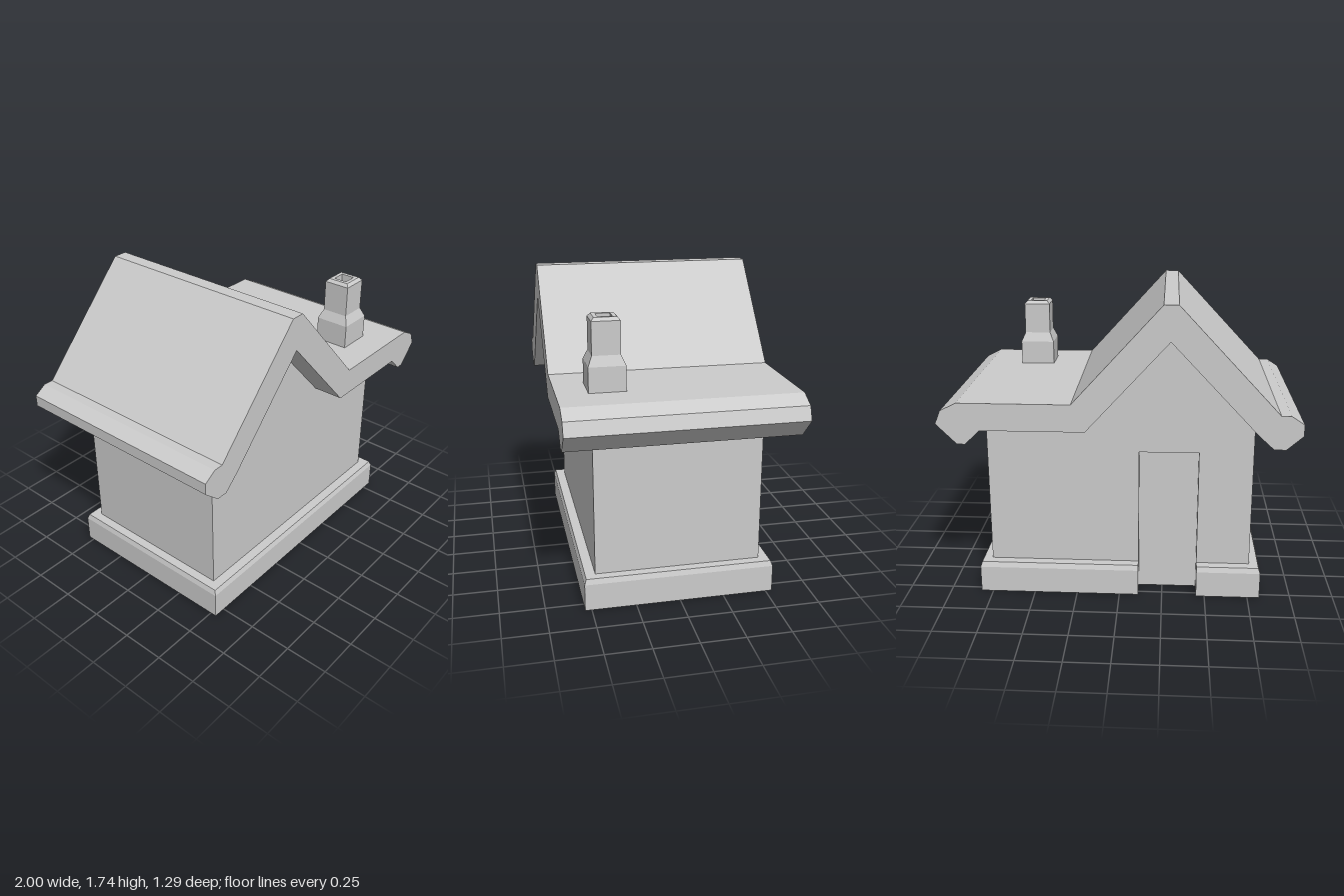
import * as THREE from 'three';

const mat = new THREE.MeshStandardMaterial({ color: 0xcccccc, flatShading: true, side: THREE.DoubleSide });

const WALL_X = 0.758, WALL_Z = 0.47, BASE_TOP = 0.185, EAVE = 1.04;
const DOOR = { x0: -0.45, x1: -0.11, top: 0.87, z: -0.415 };

function add(parent, name, geometry, x = 0, y = 0, z = 0) {
  const mesh = new THREE.Mesh(geometry, mat);
  mesh.name = name;
  mesh.position.set(x, y, z);
  parent.add(mesh);
  return mesh;
}

// Polygon from [x, y] pairs, optionally mirrored in x
function polygon(points, sx = 1) {
  return new THREE.Shape(points.map(([x, y]) => new THREE.Vector2(x * sx, y)));
}

// Skin between rows of points with equal counts
function skin(rows) {
  const n = rows[0].length, index = [];
  for (let i = 0; i < rows.length - 1; i++) {
    for (let j = 0; j < n - 1; j++) {
      const a = i * n + j, b = a + 1, c = b + n, d = a + n;
      index.push(a, b, c, a, c, d);
    }
  }
  const g = new THREE.BufferGeometry();
  g.setAttribute('position', new THREE.Float32BufferAttribute(rows.flat(2), 3));
  g.setIndex(index);
  const flat = g.toNonIndexed();
  flat.computeVertexNormals();
  return flat;
}

export function createModel() {
  const house = new THREE.Group();
  house.name = 'house';

  // Hollow plinth with a bevelled top edge, broken at the doorway
  const levels = [[0, 0.82, 0.537], [0.155, 0.82, 0.537], [BASE_TOP, 0.81, 0.526], [BASE_TOP, WALL_X, WALL_Z]];
  add(house, 'plinth', skin(levels.map(([y, hx, hz]) => [
    [DOOR.x0, y, -hz], [-hx, y, -hz], [-hx, y, hz], [hx, y, hz], [hx, y, -hz], [DOOR.x1, y, -hz],
  ])));

  // Walls: gabled front and back, plain sides
  const gable = [[WALL_X, BASE_TOP], [WALL_X, EAVE], [0.18, EAVE], [-0.28, 1.545], [-WALL_X, EAVE], [-WALL_X, BASE_TOP]];
  const doorway = [[DOOR.x0, BASE_TOP], [DOOR.x0, DOOR.top], [DOOR.x1, DOOR.top], [DOOR.x1, BASE_TOP]];
  add(house, 'frontWall', new THREE.ShapeGeometry(polygon(gable)), 0, 0, WALL_Z);
  add(house, 'backWall', new THREE.ShapeGeometry(polygon([...gable, ...doorway], -1)), 0, 0, -WALL_Z).rotation.y = Math.PI;
  for (const s of [-1, 1]) {
    const side = new THREE.PlaneGeometry(2 * WALL_Z, EAVE - BASE_TOP);
    add(house, s > 0 ? 'leftWall' : 'rightWall', side, s * WALL_X, (EAVE + BASE_TOP) / 2, 0).rotation.y = s * Math.PI / 2;
  }

  // Recessed door with jambs that also close the cut plinth
  const door = new THREE.Group();
  door.name = 'doorway';
  house.add(door);
  const width = DOOR.x1 - DOOR.x0, mid = (DOOR.x0 + DOOR.x1) / 2, depth = WALL_Z + DOOR.z;
  add(door, 'doorPanel', new THREE.PlaneGeometry(width, DOOR.top), mid, DOOR.top / 2, DOOR.z).rotation.y = Math.PI;
  add(door, 'doorSoffit', new THREE.PlaneGeometry(width, depth), mid, DOOR.top, DOOR.z - depth / 2).rotation.x = Math.PI / 2;
  const jamb = [[-DOOR.z, 0], [0.537, 0], [0.537, 0.155], [0.526, BASE_TOP], [WALL_Z, BASE_TOP], [WALL_Z, DOOR.top], [-DOOR.z, DOOR.top]];
  for (const [x, s] of [[DOOR.x0, 1], [DOOR.x1, -1]]) {
    add(door, 'doorJamb', new THREE.ShapeGeometry(polygon(jamb, s)), x).rotation.y = s * Math.PI / 2;
  }

  // Thick roof: steep gable running into a flat wing, with rolled eaves
  const roof = polygon([
    [-1, 1.04], [-0.91, 0.96], [-0.845, 0.96], [-WALL_X, EAVE], [-0.28, 1.545], [0.18, EAVE],
    [WALL_X, EAVE], [0.84, 0.96], [0.885, 0.96], [1, 1.075], [0.97, 1.15], [0.88, 1.195],
    [0.255, 1.195], [-0.24, 1.74], [-0.32, 1.74], [-0.875, 1.15], [-0.93, 1.15], [-1, 1.105],
  ]);
  add(house, 'roof', new THREE.ExtrudeGeometry(roof, { depth: 1.29, bevelEnabled: false }), 0, 0, -0.645);

  // Square chimney, stepped in, with an open flue
  const profile = [[0.102, 1.19], [0.102, 1.335], [0.078, 1.39], [0.078, 1.572], [0.062, 1.59], [0.04, 1.59], [0.04, 1.53], [0, 1.53]]
    .map(([half, y]) => new THREE.Vector2(half * Math.SQRT2, y));
  add(house, 'chimney', new THREE.LatheGeometry(profile, 4, Math.PI / 4), 0.567, 0, 0.37);

  return house;
}
